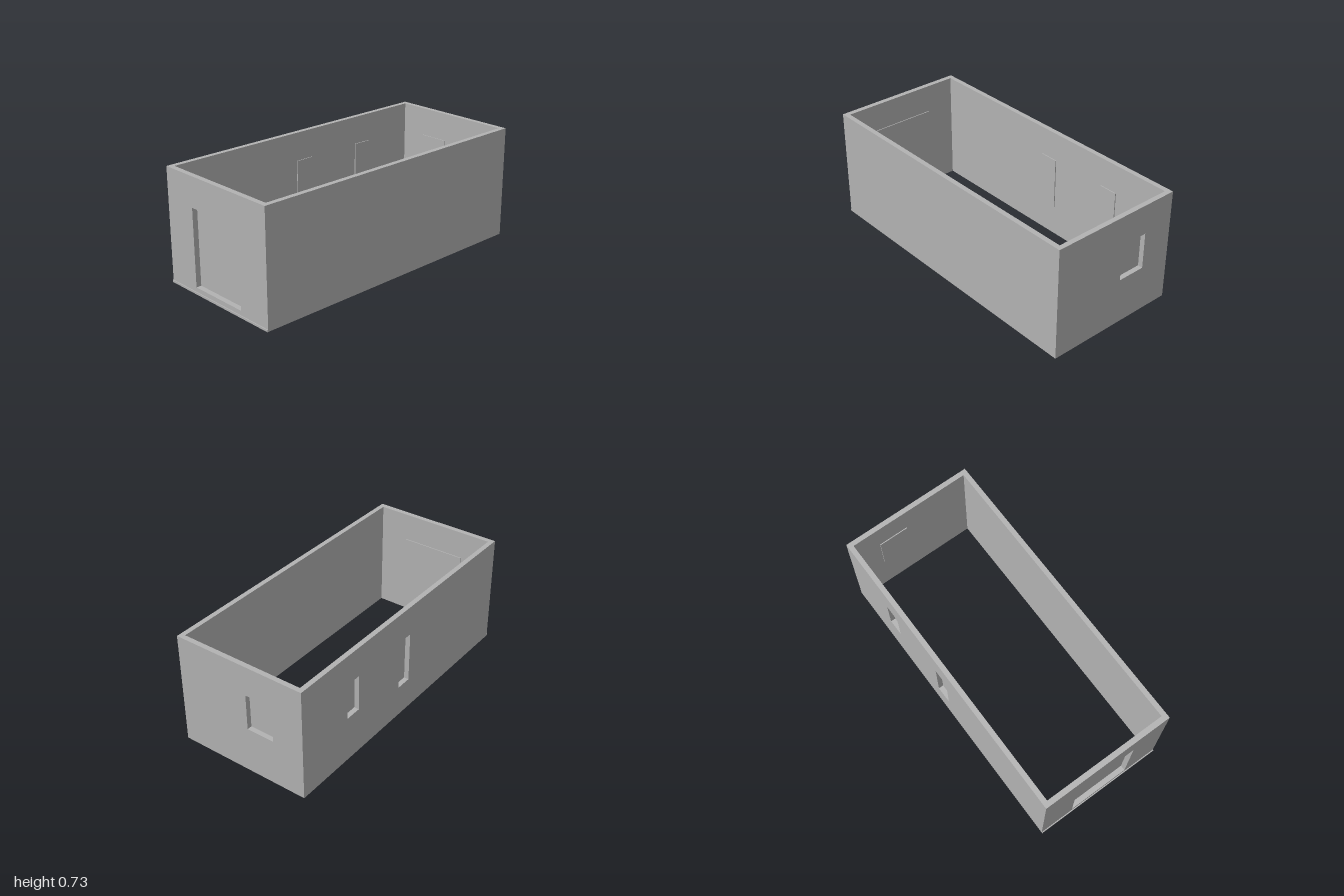
import * as THREE from 'three';

const H = 0.73, HALF_X = 0.44, T = 0.032;
const FRONT = 0.994, BACK = -1, IN_FRONT = 0.96, IN_BACK = -0.968;
const LAP = 0.008, PANEL_T = 0.006; // panel overlap round an opening, and its thickness

const grey = new THREE.MeshStandardMaterial({ color: 0xb2b2b2 });
grey.name = 'plain grey';

function rect(Kind, [u0, u1, y0, y1]) {
  const r = new Kind();
  r.moveTo(u0, y0);
  r.lineTo(u1, y0);
  r.lineTo(u1, y1);
  r.lineTo(u0, y1);
  r.closePath();
  return r;
}

// Upright slab along u, thickened towards local +z, with rectangular openings
function slab(name, bounds, depth, z, holes = []) {
  const shape = rect(THREE.Shape, bounds);
  shape.holes = holes.map((h) => rect(THREE.Path, h));
  const mesh = new THREE.Mesh(new THREE.ExtrudeGeometry(shape, { depth, bevelEnabled: false }), grey);
  mesh.name = name;
  mesh.position.z = z;
  return mesh;
}

const lapped = ([u0, u1, y0, y1]) => [u0 - LAP, u1 + LAP, y0 - LAP, y1 + LAP];

export function createModel() {
  const model = new THREE.Group();
  model.name = 'openRoom';

  // Front wall with a doorway closed by a panel on the inside
  const door = [-0.208, 0.206, 0.042, 0.538];
  model.add(slab('frontWall', [-HALF_X, HALF_X, 0, H], FRONT - IN_FRONT, IN_FRONT, [door]));
  model.add(slab('doorPanel', lapped(door), PANEL_T, IN_FRONT - PANEL_T));

  // Low strip along the foot of the front wall
  model.add(slab('frontSill', [-HALF_X, HALF_X, 0, 0.013], 1 - FRONT, FRONT));

  // Back wall with one window
  const backWindow = [-0.232, -0.048, 0.301, 0.536];
  model.add(slab('backWall', [-HALF_X, HALF_X, 0, H], IN_BACK - BACK, BACK, [backWindow]));
  model.add(slab('backWindowPanel', lapped(backWindow), PANEL_T, IN_BACK));

  // Side walls: local x runs along world z, thickness runs towards -x
  const span = [IN_BACK, IN_FRONT, 0, H];
  const sideWindows = [
    [-0.597, -0.489, 0.301, 0.536],
    [-0.083, 0.025, 0.207, 0.536],
  ];
  const sides = new THREE.Group();
  sides.name = 'sideWalls';
  sides.rotation.y = -Math.PI / 2;
  sides.add(slab('plainSideWall', span, T, -HALF_X));
  sides.add(slab('windowSideWall', span, T, HALF_X - T, sideWindows));
  sideWindows.forEach((w, i) => {
    sides.add(slab('sideWindowPanel' + (i + 1), lapped(w), PANEL_T, HALF_X - T - PANEL_T));
  });
  model.add(sides);

  return model;
}
